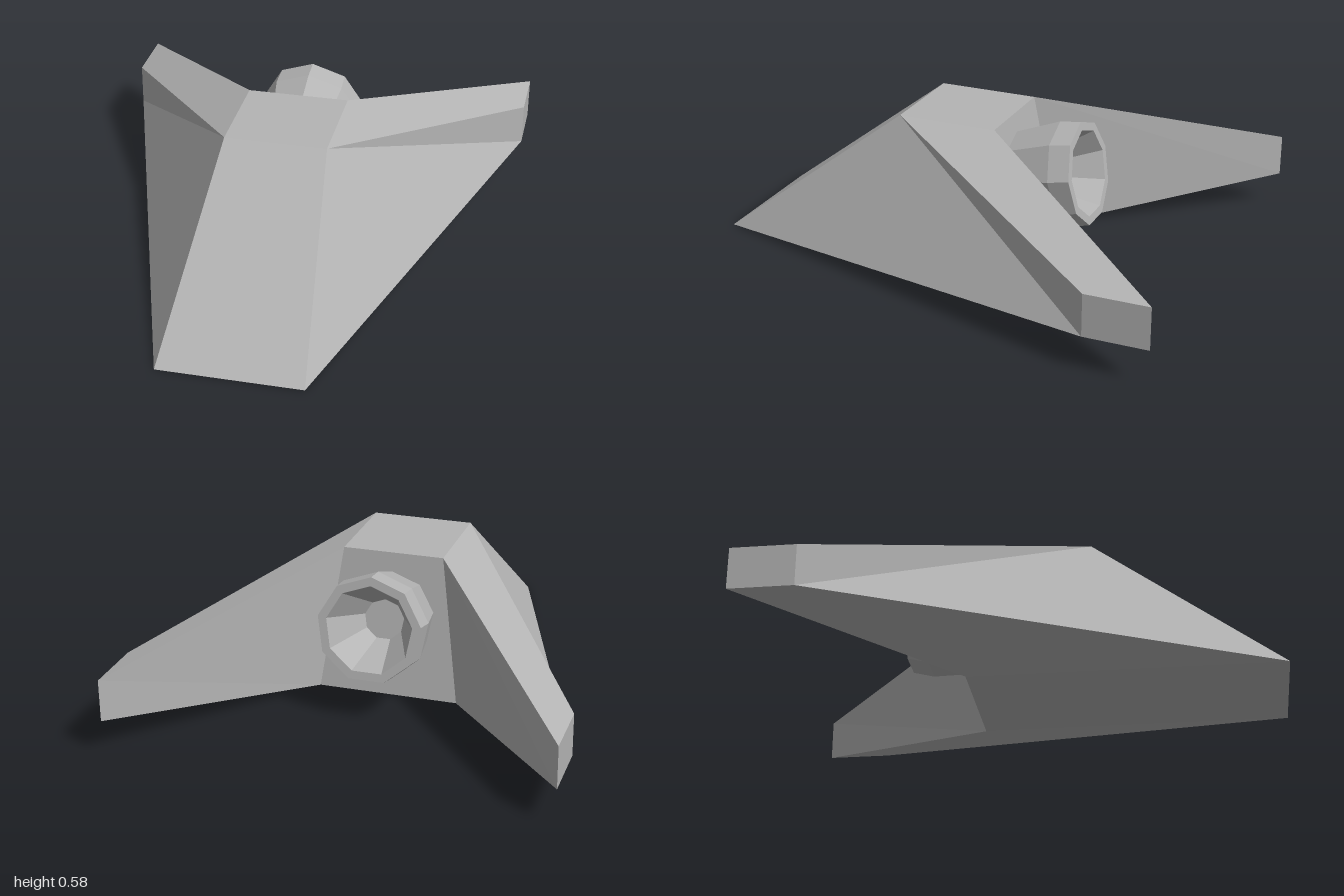
import * as THREE from 'three';

// Corner points of the left half of the hull
const noseLow = [0.28, 0, 1];
const roofFront = [0.2, 0.57, 0.26];
const roofBack = [0.2, 0.57, -0.14];
const tailLow = [0.28, 0, -0.22];
const tipTopFront = [0.85, 0.3, -0.75];
const tipTopBack = [0.85, 0.3, -1];
const tipLowFront = [0.85, 0.135, -0.75];
const tipLowBack = [0.85, 0.135, -1];

const mirror = ([x, y, z]) => [-x, y, z];

// Flat faces from convex corner loops, counter-clockwise from outside
function facesGeometry(loops) {
  const positions = [];
  for (const loop of loops) {
    for (let i = 1; i < loop.length - 1; i++) positions.push(...loop[0], ...loop[i], ...loop[i + 1]);
  }
  const geometry = new THREE.BufferGeometry();
  geometry.setAttribute('position', new THREE.Float32BufferAttribute(positions, 3));
  geometry.computeVertexNormals();
  return geometry;
}

// Band across the middle, running from the left point pair to the right one
const band = (from, to) => [mirror(from), from, to, mirror(to)];

export function createModel() {
  const model = new THREE.Group();
  model.name = 'spacecraft';
  const hullGrey = new THREE.MeshStandardMaterial({ color: 0xb4b4b4, flatShading: true });
  hullGrey.name = 'hull grey';

  const add = (name, geometry) => {
    const mesh = new THREE.Mesh(geometry, hullGrey);
    mesh.name = name;
    model.add(mesh);
    return mesh;
  };

  // Central fuselage: sloping front, roof, rear wall, belly
  add('fuselage', facesGeometry([
    band(noseLow, roofFront),
    band(roofFront, roofBack),
    band(roofBack, tailLow),
    band(tailLow, noseLow),
  ]));

  // Swept wings
  const wing = [
    [noseLow, tipLowFront, roofFront],
    [tipLowFront, tipTopFront, roofFront],
    [roofFront, tipTopFront, tipTopBack, roofBack],
    [tipLowFront, tipLowBack, tipTopBack, tipTopFront],
    [tailLow, roofBack, tipTopBack, tipLowBack],
    [noseLow, tailLow, tipLowBack, tipLowFront],
  ];
  add('leftWing', facesGeometry(wing));
  add('rightWing', facesGeometry(wing.map((loop) => loop.map(mirror).reverse())));

  // Nine-sided thruster, flared outside and hollow at the back, tilted up
  const profile = [
    [0, -0.38], [0.155, -0.38], [0.211, -0.085], [0.206, 0],
    [0.172, 0], [0.08, -0.2], [0, -0.2],
  ].map(([r, t]) => new THREE.Vector2(r, t));
  const nozzle = new THREE.LatheGeometry(profile, 9).toNonIndexed();
  nozzle.computeVertexNormals();
  const thruster = add('thruster', nozzle);
  thruster.rotation.x = THREE.MathUtils.degToRad(-79.5);
  thruster.position.set(0, 0.373, -0.452);

  return model;
}
